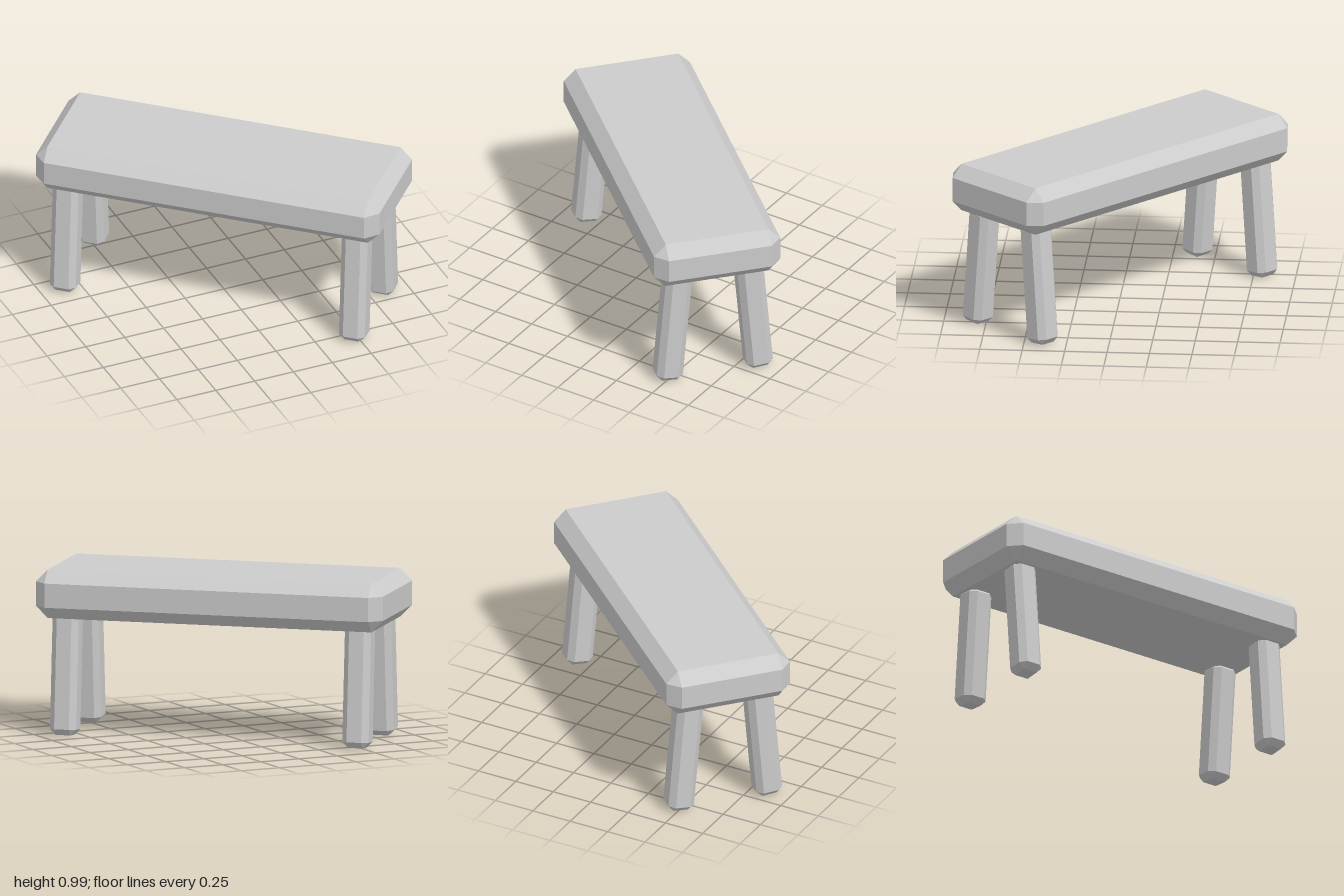
import * as THREE from 'three';
import { ConvexGeometry } from 'three/addons/geometries/ConvexGeometry.js';

const material = new THREE.MeshStandardMaterial({ color: 0xcccccc, flatShading: true });

// Box of half sizes hx, hy, hz with every edge and corner cut by one flat bevel
function bevelledBox(name, hx, hy, hz, bevel) {
  const points = [];
  for (const sx of [-1, 1]) for (const sy of [-1, 1]) for (const sz of [-1, 1]) {
    const x = hx - bevel, y = hy - bevel, z = hz - bevel;
    points.push(
      new THREE.Vector3(sx * hx, sy * y, sz * z),
      new THREE.Vector3(sx * x, sy * hy, sz * z),
      new THREE.Vector3(sx * x, sy * y, sz * hz)
    );
  }
  const mesh = new THREE.Mesh(new ConvexGeometry(points), material);
  mesh.name = name;
  return mesh;
}

export function createModel() {
  const bench = new THREE.Group();
  bench.name = 'bench';

  // Thick plank seat
  const seat = bevelledBox('seat', 1.06, 0.144, 0.385, 0.072);
  seat.position.y = 0.843;
  bench.add(seat);

  // Four legs, splayed outward across the width, tops sunk into the seat
  for (const end of [-1, 1]) for (const side of [-1, 1]) {
    const name = (side > 0 ? 'front' : 'back') + (end > 0 ? 'Left' : 'Right') + 'Leg';
    const leg = bevelledBox(name, 0.08, 0.3625, 0.08, 0.035);
    leg.position.set(end * 0.892, 0.365, side * 0.246);
    leg.rotation.x = -side * 0.087;
    bench.add(leg);
  }

  // The whole bench stands turned on the ground
  bench.rotation.y = -0.732;
  const model = new THREE.Group();
  model.add(bench);
  return model;
}
